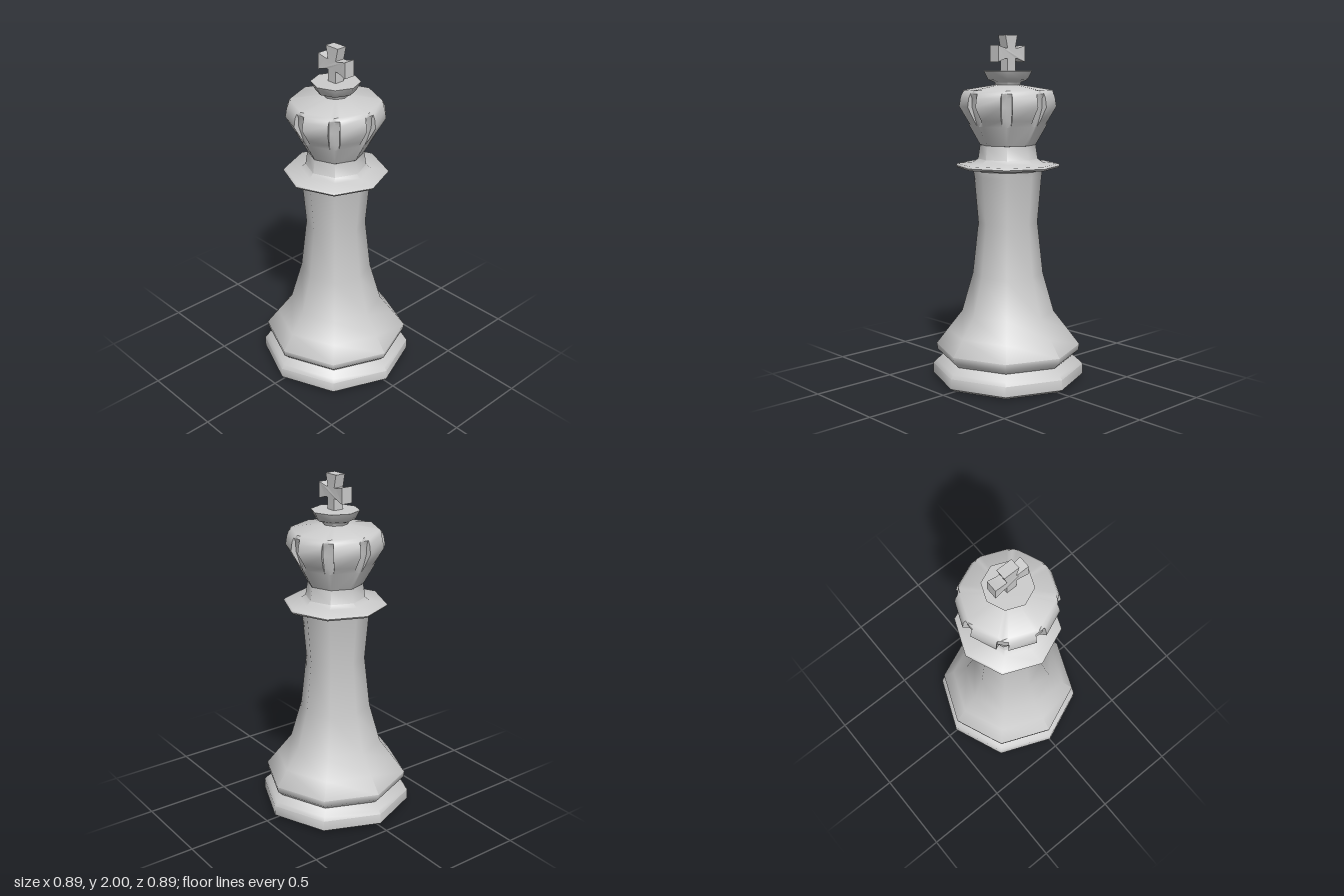
import * as THREE from 'three';
import { toCreasedNormals } from 'three/addons/utils/BufferGeometryUtils.js';

const SIDES = 8;
const CREASE = 0.95; // wider than the 45 degree corners, so the octagon shades smoothly
const material = new THREE.MeshStandardMaterial({ color: 0xcccccc });

function addMesh(group, name, geometry, crease = CREASE) {
  const mesh = new THREE.Mesh(toCreasedNormals(geometry, crease), material);
  mesh.name = name;
  group.add(mesh);
}

// Eight-sided turned part from [radius, height] pairs, bottom to top
function turned(profile) {
  return new THREE.LatheGeometry(profile.map(([r, y]) => new THREE.Vector2(r, y)), SIDES);
}

// Octagonal crown with a groove cut into every corner.
// Rings: [height, corner radius, groove depth at centre, groove depth at sides, groove half width]
function crownGeometry() {
  const rings = [
    [1.38, 0.16, 0, 0, 0.02],
    [1.49, 0.222, 0, 0, 0.025],
    [1.525, 0.245, 0.018, 0.01, 0.03],
    [1.6, 0.29, 0.04, 0.03, 0.032],
    [1.65, 0.282, 0.032, 0.022, 0.032],
    [1.675, 0.272, 0.012, 0, 0.03],
    [1.692, 0.255, 0, 0, 0.027],
    [1.722, 0.07, 0, 0, 0.01],
  ];
  const positions = [];
  const index = [];
  const perRing = SIDES * 5;
  for (const [y, r, mid, side, w] of rings) {
    const lip = r - w * Math.tan(Math.PI / 8); // on the octagon's flat side
    const section = [[-w, lip], [-w * 0.9, lip - side], [0, r - mid], [w * 0.9, lip - side], [w, lip]];
    for (let k = 0; k < SIDES; k++) {
      const a = (k / SIDES) * Math.PI * 2;
      for (const [t, d] of section) {
        positions.push(d * Math.sin(a) + t * Math.cos(a), y, d * Math.cos(a) - t * Math.sin(a));
      }
    }
  }
  for (let i = 0; i < rings.length - 1; i++) {
    for (let j = 0; j < perRing; j++) {
      const a = i * perRing + j;
      const b = i * perRing + ((j + 1) % perRing);
      index.push(a, b, b + perRing, a, b + perRing, a + perRing);
    }
  }
  const geometry = new THREE.BufferGeometry();
  geometry.setAttribute('position', new THREE.Float32BufferAttribute(positions, 3));
  geometry.setIndex(index);
  return geometry;
}

// Cross with flared arms
function crossGeometry() {
  const outline = [
    [-0.03, 1.79], [0.03, 1.79], [0.03, 1.868], [0.048, 1.868], [0.105, 1.85],
    [0.105, 1.942], [0.048, 1.927], [0.03, 1.927], [0.047, 2], [-0.047, 2],
    [-0.03, 1.927], [-0.048, 1.927], [-0.105, 1.942], [-0.105, 1.85],
    [-0.048, 1.868], [-0.03, 1.868],
  ].map(([x, y]) => new THREE.Vector2(x, y));
  const geometry = new THREE.ExtrudeGeometry(new THREE.Shape(outline), { depth: 0.06, bevelEnabled: false });
  geometry.translate(0, 0, -0.03);
  // Arm ends are slightly thicker than the centre
  const p = geometry.attributes.position;
  for (let i = 0; i < p.count; i++) {
    if (Math.abs(p.getX(i)) > 0.1) p.setZ(i, p.getZ(i) * 1.12);
  }
  return geometry;
}

export function createModel() {
  const group = new THREE.Group();
  group.name = 'chessKing';

  addMesh(group, 'base', turned([
    [0, 0], [0.41, 0], [0.443, 0.02], [0.443, 0.08], [0.425, 0.1], [0.385, 0.135],
  ]));
  addMesh(group, 'body', turned([
    [0.385, 0.135], [0.417, 0.165], [0.423, 0.2], [0.355, 0.29], [0.27, 0.4],
    [0.205, 0.63], [0.172, 0.93], [0.195, 1.2], [0.2, 1.235],
  ]));
  addMesh(group, 'collar', turned([
    [0.195, 1.232], [0.225, 1.243], [0.29, 1.248], [0.3, 1.26], [0.29, 1.272], [0.2, 1.28],
    [0.172, 1.3], [0.16, 1.38],
  ]));
  addMesh(group, 'crown', crownGeometry(), 0.8);
  addMesh(group, 'finialCup', turned([
    [0.07, 1.715], [0.075, 1.735], [0.112, 1.75], [0.138, 1.8], [0, 1.803],
  ]));
  addMesh(group, 'cross', crossGeometry(), 0.5);
  return group;
}
